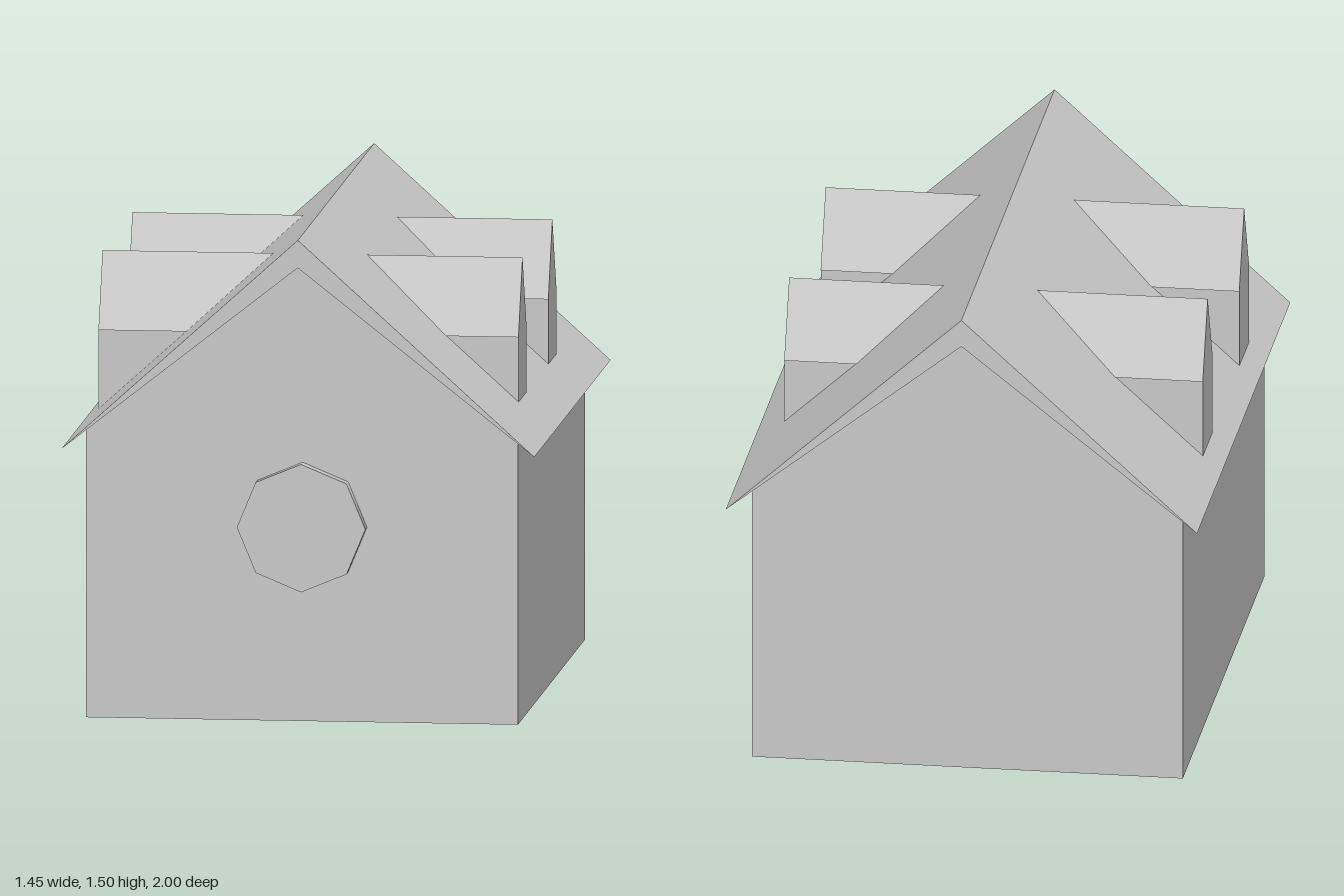
import * as THREE from 'three';

const RIDGE = 1.5, EAVE_X = 0.725, EAVE_Y = 0.845;
const SLOPE = (RIDGE - EAVE_Y) / EAVE_X;

export function createModel() {
  const house = new THREE.Group();
  house.name = 'house';
  const material = new THREE.MeshStandardMaterial({ color: 0xcccccc });

  const add = (name, geometry) => {
    const mesh = new THREE.Mesh(geometry, material);
    mesh.name = name;
    house.add(mesh);
    return mesh;
  };
  const extrude = (points, depth) => new THREE.ExtrudeGeometry(
    new THREE.Shape(points.map(([x, y]) => new THREE.Vector2(x, y))),
    { depth, bevelEnabled: false });

  // Gabled walls
  add('walls', extrude(
    [[-0.665, 0], [0.66, 0], [0.66, 0.893], [0, 1.41], [-0.665, 0.889]], 1.755
  )).position.z = -0.885;

  // Roof tapering to a thin edge at the eaves
  add('roof', extrude(
    [[-EAVE_X, EAVE_Y], [0, 1.415], [EAVE_X, EAVE_Y], [0, RIDGE]], 2
  )).position.z = -1;

  // Eight-sided window on the front gable
  const gableWindow = new THREE.CylinderGeometry(0.197, 0.197, 0.055, 8);
  gableWindow.rotateX(Math.PI / 2);
  add('gableWindow', gableWindow).position.set(0, 0.6, 0.8875);

  // Dormers: a gabled profile whose rear end is cut along the roof slope
  const dormer = (front, bottom) => {
    const geometry = extrude([
      [-0.102, bottom], [0.102, bottom], [0.102, 1.14], [0.107, 1.14],
      [0, 1.37], [-0.107, 1.14], [-0.102, 1.14],
    ], 1);
    const p = geometry.attributes.position;
    for (let i = 0; i < p.count; i++) {
      const onRoof = (RIDGE - p.getY(i)) / SLOPE;
      p.setZ(i, p.getZ(i) > 0.5 ? front : Math.min(front - 0.001, onRoof));
    }
    geometry.computeVertexNormals();
    return geometry;
  };
  for (const [side, label, front, bottom] of [[1, 'left', 0.62, 0.94], [-1, 'right', 0.668, 0.84]]) {
    for (const [place, z] of [['Front', 0.41], ['Back', -0.372]]) {
      const mesh = add(`${label}${place}Dormer`, dormer(front, bottom));
      mesh.rotation.y = side * Math.PI / 2;
      mesh.position.z = z;
    }
  }
  return house;
}
